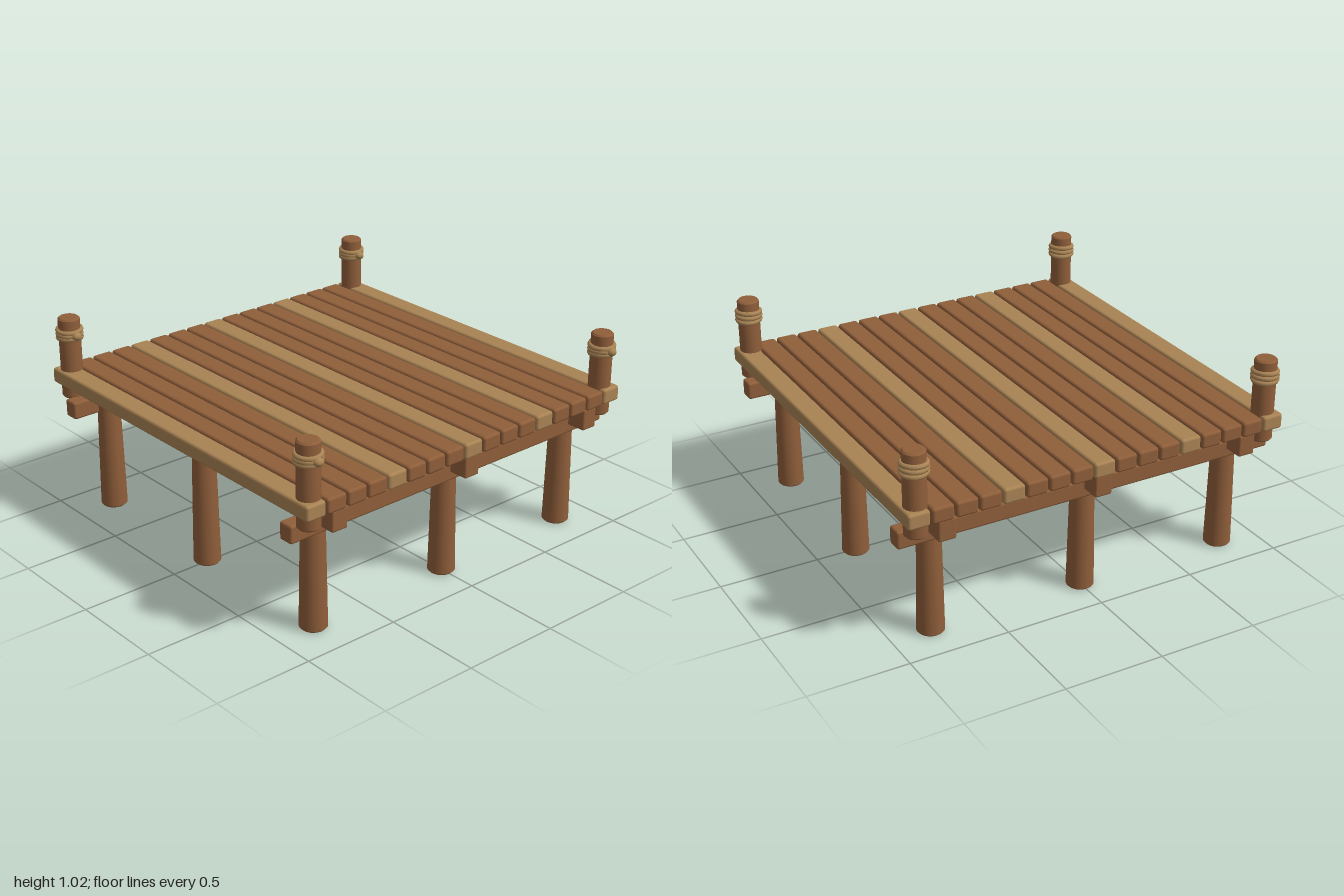
import * as THREE from 'three';
import { toCreasedNormals } from 'three/addons/utils/BufferGeometryUtils.js';
import { RoundedBoxGeometry } from 'three/addons/geometries/RoundedBoxGeometry.js';

function makeMaterial(name, color) {
  const m = new THREE.MeshStandardMaterial({ color });
  m.name = name;
  return m;
}

// Round log with slightly worn rims
function logGeometry(rBottom, rTop, height) {
  const b = 0.008;
  const profile = [
    [0, 0], [rBottom - b, 0], [rBottom, b],
    [rTop, height - b], [rTop - b, height], [0, height],
  ].map(([x, y]) => new THREE.Vector2(x, y));
  return toCreasedNormals(new THREE.LatheGeometry(profile, 20), 0.6);
}

export function createModel() {
  const wood = makeMaterial('brown wood', 0x8f5e3a);
  const paleWood = makeMaterial('pale wood', 0xa98354);
  const ropeTan = makeMaterial('tan rope', 0xa98455);

  const dock = new THREE.Group();
  dock.name = 'dock';
  dock.position.z = -0.0075;

  function add(parent, name, geometry, material, x, y, z) {
    const mesh = new THREE.Mesh(geometry, material);
    mesh.name = name;
    mesh.position.set(x, y, z);
    parent.add(mesh);
    return mesh;
  }

  // Deck planks, every fourth one pale
  const plank = new RoundedBoxGeometry(0.108, 0.078, 1.985, 2, 0.014);
  for (let i = 0; i < 17; i++) {
    add(dock, 'plank', plank, i % 4 === 0 ? paleWood : wood, (i - 8) * 0.117, 0.706, 0);
  }

  // Joists under the deck and the piles that carry them
  const joist = new RoundedBoxGeometry(0.088, 0.108, 1.965, 2, 0.01);
  const pile = logGeometry(0.067, 0.055, 0.675);
  for (const x of [-0.797, 0, 0.797]) {
    add(dock, 'joist', joist, wood, x, 0.618, 0);
    for (const z of [-0.797, 0, 0.797]) add(dock, 'pile', pile, wood, x, 0, z);
  }

  // Cross beams at front and back
  const beam = new RoundedBoxGeometry(1.986, 0.09, 0.08, 2, 0.012);
  for (const z of [-0.845, 0.845]) add(dock, 'crossBeam', beam, wood, 0, 0.565, z);

  // Corner posts wrapped in rope, each with a knot facing forward
  const post = logGeometry(0.055, 0.055, 0.42);
  const ring = new THREE.TorusGeometry(0.057, 0.0125, 8, 24).rotateX(Math.PI / 2);
  const knot = new THREE.SphereGeometry(0.025, 12, 8).scale(1, 0.85, 1);
  for (const x of [-0.922, 0.922]) {
    for (const z of [-0.92, 0.92]) {
      const corner = new THREE.Group();
      corner.name = 'cornerPost';
      corner.position.set(x, 0.6, z);
      add(corner, 'post', post, wood, 0, 0, 0);
      for (let i = 0; i < 3; i++) {
        const loop = add(corner, 'ropeLoop', ring, ropeTan, 0, 0.315 + i * 0.02, 0);
        loop.rotation.set((1 - i) * -0.06, 0, (i - 1) * 0.05);
      }
      add(corner, 'ropeKnot', knot, ropeTan, 0, 0.335, 0.0625);
      dock.add(corner);
    }
  }

  const model = new THREE.Group();
  model.name = 'woodenDock';
  model.add(dock);
  return model;
}
